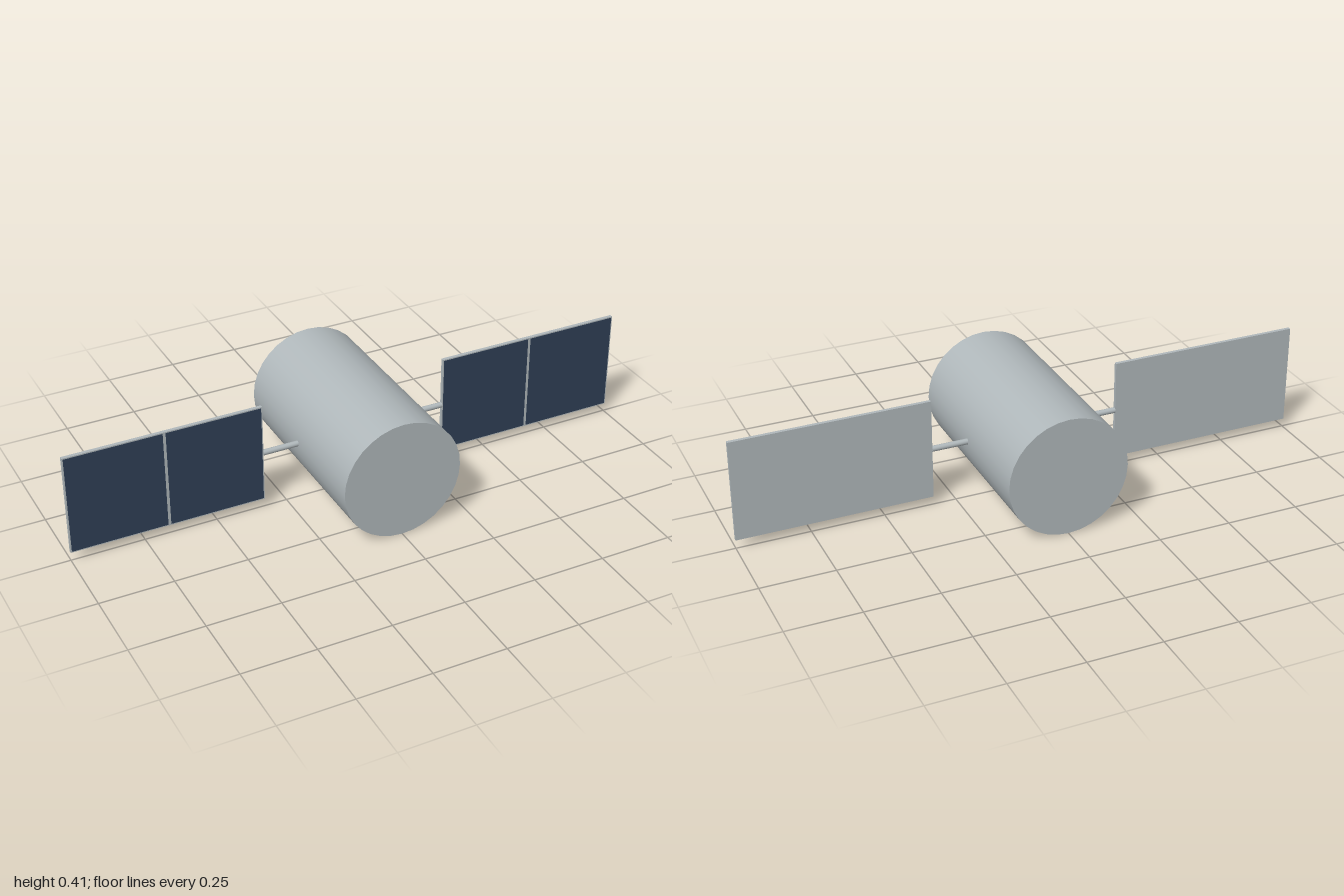
import * as THREE from 'three';

const RADIUS = 0.2065, LENGTH = 0.69;
const PANEL_W = 0.67, PANEL_H = 0.352, PANEL_D = 0.012;
const INNER = 1 - PANEL_W; // inner edge of each panel

export function createModel() {
  const model = new THREE.Group();
  model.name = 'satellite';

  const metal = new THREE.MeshStandardMaterial({ color: 0xb0b8bb });
  metal.name = 'pale grey metal';
  const solar = new THREE.MeshStandardMaterial({ color: 0x304056 });
  solar.name = 'dark blue solar cell';

  const add = (parent, name, geometry, material, x, y, z) => {
    const mesh = new THREE.Mesh(geometry, material);
    mesh.name = name;
    mesh.position.set(x, y, z);
    parent.add(mesh);
    return mesh;
  };

  // Cylindrical body lying along z
  const bodyGeo = new THREE.CylinderGeometry(RADIUS, RADIUS, LENGTH, 32).rotateX(Math.PI / 2);
  add(model, 'body', bodyGeo, metal, 0, RADIUS, 0);

  const strutLength = INNER - RADIUS + 0.01;
  const strutGeo = new THREE.CylinderGeometry(0.01, 0.01, strutLength, 16).rotateZ(Math.PI / 2);
  const panelGeo = new THREE.BoxGeometry(PANEL_W, PANEL_H, PANEL_D);

  // Two thin cell plates per panel, with a narrow rim and centre gap
  const rim = 0.004, gap = 0.01, plate = 0.002;
  const cellW = (PANEL_W - 2 * rim - gap) / 2;
  const cellGeo = new THREE.BoxGeometry(cellW, PANEL_H - 2 * rim, plate);

  for (const side of [1, -1]) {
    const wing = new THREE.Group();
    wing.name = side > 0 ? 'leftWing' : 'rightWing';
    wing.position.y = 0.208;
    model.add(wing);

    const centre = side * (1 - PANEL_W / 2);
    add(wing, 'strut', strutGeo, metal, side * (INNER - strutLength / 2), 0, 0);
    add(wing, 'panel', panelGeo, metal, centre, 0, 0);
    for (const s of [-1, 1]) {
      // Cells stand just proud of the front face
      add(wing, 'solarCell', cellGeo, solar, centre + s * (cellW + gap) / 2, 0, PANEL_D / 2);
    }
  }
  return model;
}
